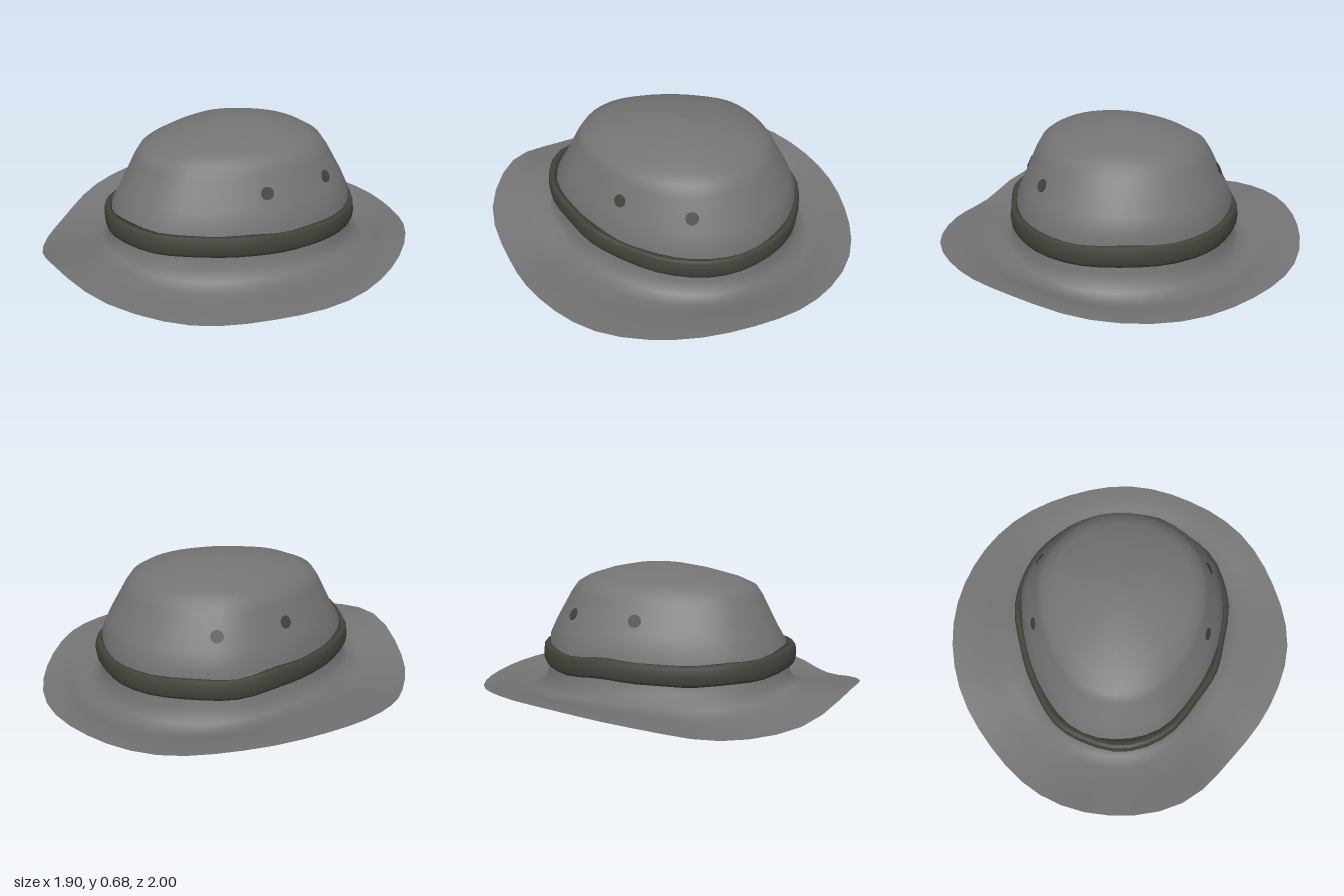
import * as THREE from 'three';

const SEG = 48;
const TAU = Math.PI * 2;

// Smooth closed curve through evenly spaced values, angle 0 at the front, turning towards +x
function ring(values) {
  const n = values.length;
  return (angle) => {
    const u = ((angle / TAU) * n + n) % n;
    const i = Math.floor(u), t = u - i;
    const [a, b, c, d] = [-1, 0, 1, 2].map((k) => values[(i + k + n) % n]);
    return b + 0.5 * t * (c - a + t * (2 * a - 5 * b + 4 * c - d + t * (3 * (b - c) + d - a)));
  };
}

// Surface through closed loops; point(angle, row) gives a position
function loft(rowCount, point, closeRows = false) {
  const positions = [], index = [];
  for (let j = 0; j < rowCount; j++)
    for (let i = 0; i < SEG; i++) positions.push(...point((i / SEG) * TAU, j).toArray());
  const last = closeRows ? rowCount : rowCount - 1;
  for (let j = 0; j < last; j++)
    for (let i = 0; i < SEG; i++) {
      const i2 = (i + 1) % SEG, j2 = (j + 1) % rowCount;
      const a = j * SEG + i, b = j * SEG + i2, c = j2 * SEG + i, d = j2 * SEG + i2;
      index.push(a, b, d, a, d, c);
    }
  const geometry = new THREE.BufferGeometry();
  geometry.setAttribute('position', new THREE.Float32BufferAttribute(positions, 3));
  geometry.setIndex(index);
  geometry.computeVertexNormals();
  return geometry;
}

const polar = (angle, r, y, dz = 0) =>
  new THREE.Vector3(r * Math.sin(angle), y, r * Math.cos(angle) + dz);

// Egg-shaped head outline and height of the band's middle
const bandRadius = ring([0.68, 0.655, 0.59, 0.568, 0.58, 0.625, 0.675, 0.695,
  0.70, 0.695, 0.66, 0.635, 0.58, 0.565, 0.592, 0.655]);
const bandHeight = ring([0.25, 0.247, 0.24, 0.228, 0.225, 0.217, 0.212, 0.21,
  0.21, 0.212, 0.217, 0.222, 0.225, 0.22, 0.214, 0.228]);
const crownRadius = (angle) => bandRadius(angle) - 0.03;

// Brim outline, wavy edge height and depth of the valley next to the crown
const brimRadius = ring([1.0, 0.985, 0.915, 0.92, 0.95, 0.945, 0.96, 0.98,
  1.0, 0.985, 0.985, 0.965, 0.955, 0.95, 0.95, 0.985]);
const brimHeight = ring([0.147, 0.10, 0.035, 0.06, 0.08, 0.09, 0.105, 0.065,
  0.05, 0.055, 0.075, 0.115, 0.13, 0.095, 0.035, 0.055]);
const brimValley = ring([0, 0.01, 0.02, 0.03, 0.036, 0.042, 0.055, 0.058,
  0.058, 0.055, 0.052, 0.045, 0.04, 0.03, 0.02, 0.01]);

// Crown rows: scale of the head outline, height, shift in z
const crownRows = [
  [1, 0.2, 0], [0.985, 0.3, -0.008], [0.92, 0.38, -0.015], [0.795, 0.53, -0.012],
  [0.74, 0.58, -0.012], [0.63, 0.615, -0.025], [0.42, 0.653, -0.045],
  [0.22, 0.676, -0.055], [0, 0.685, -0.06],
];

// Brim rows: way in from edge to crown, share of the edge height, own height
const brimRows = [
  [0, 1, 0], [0.2, 0.9, 0.004], [0.45, 0.75, 0.014], [0.7, 0.55, 0.033],
  [0.88, 0.3, 0.068], [0.97, 0.1, 0.122], [1, 0, 0.2],
];

export function createModel() {
  const hat = new THREE.Group();
  hat.name = 'hat';

  const felt = new THREE.MeshStandardMaterial({ color: 0x747474, side: THREE.DoubleSide });
  felt.name = 'grey cloth';
  const trim = new THREE.MeshStandardMaterial({ color: 0x42433a });
  trim.name = 'dark olive trim';

  const add = (name, geometry, material) => {
    const mesh = new THREE.Mesh(geometry, material);
    mesh.name = name;
    hat.add(mesh);
    return mesh;
  };

  // Wavy brim with a valley around the crown, flaring up into it
  add('brim', loft(brimRows.length, (angle, j) => {
    const [f, share, height] = brimRows[j];
    const r = THREE.MathUtils.lerp(brimRadius(angle), crownRadius(angle), f);
    const sag = brimValley(angle) * Math.sin(Math.PI * f ** 3);
    return polar(angle, r, brimHeight(angle) * share + height - sag);
  }), felt);

  // Hollow crown
  const crownPoint = (angle, row) => {
    const j = Math.min(Math.floor(row), crownRows.length - 2);
    const [s, y, dz] = crownRows[j].map((v, k) => THREE.MathUtils.lerp(v, crownRows[j + 1][k], row - j));
    return polar(angle, s * crownRadius(angle), y, dz);
  };
  add('crown', loft(crownRows.length, crownPoint), felt);

  // Hat band with rounded outer face; its inner face lines the inside of the crown
  const bandProfile = [[-0.036, -0.052], [-0.008, -0.052], [0, -0.035], [0.003, 0],
    [-0.002, 0.035], [-0.01, 0.047], [-0.022, 0.045], [-0.055, 0.042], [-0.038, -0.048]];
  add('hatBand', loft(bandProfile.length, (angle, j) => {
    const [dr, dy] = bandProfile[j];
    const wobble = 0.004 * Math.sin(7 * angle) + 0.003 * Math.sin(11 * angle + 1);
    return polar(angle, bandRadius(angle) + dr + (dr > -0.03 ? wobble : 0), bandHeight(angle) + dy + wobble);
  }, true), trim);

  // Two vent eyelets on each side
  const eyeletRow = 2 + (0.448 - 0.38) / 0.15;
  for (const side of [1, -1])
    for (const z of [0.09, -0.305]) {
      const angle = Math.atan2(side * 0.485, z + 0.015);
      const along = crownPoint(angle + 0.04, eyeletRow).sub(crownPoint(angle - 0.04, eyeletRow));
      const up = crownPoint(angle, eyeletRow + 0.2).sub(crownPoint(angle, eyeletRow - 0.2));
      const normal = along.cross(up).normalize();
      const eyelet = add('ventEyelet', new THREE.CylinderGeometry(0.032, 0.032, 0.008, 12), trim);
      eyelet.position.copy(crownPoint(angle, eyeletRow));
      eyelet.quaternion.setFromUnitVectors(new THREE.Vector3(0, 1, 0), normal);
    }

  return hat;
}
